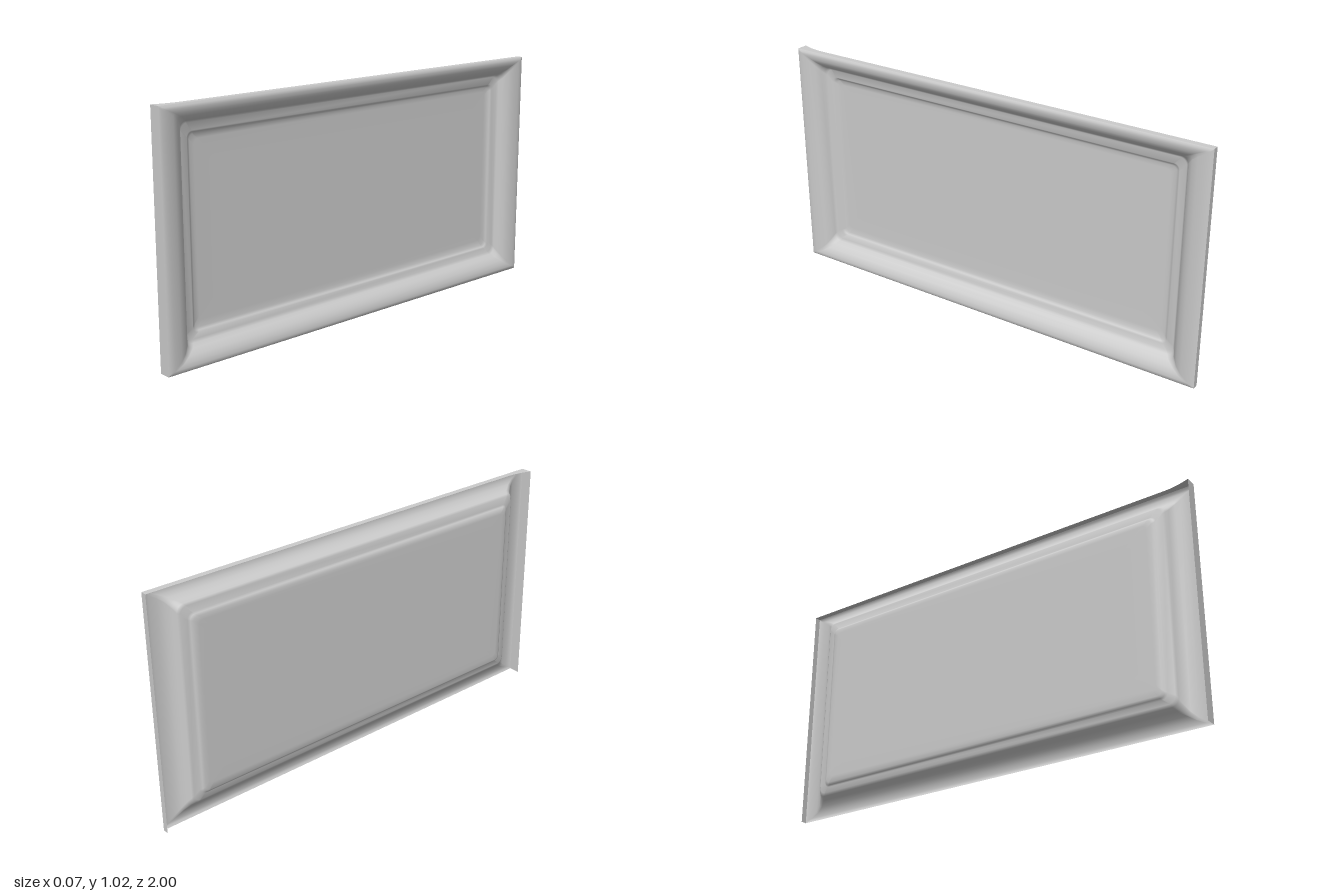
import * as THREE from 'three';

const material = new THREE.MeshStandardMaterial({ color: 0xcccccc, side: THREE.DoubleSide });
const HEIGHT = 1.02;
const lean = (y) => 0.005 * (y / HEIGHT - 0.5); // the sheet tilts very slightly

function makeMesh(name, positions, indices) {
  const geometry = new THREE.BufferGeometry();
  geometry.setAttribute('position', new THREE.Float32BufferAttribute(positions, 3));
  geometry.setIndex(indices);
  geometry.computeVertexNormals();
  const mesh = new THREE.Mesh(geometry, material);
  mesh.name = name;
  return mesh;
}

// Rounded rectangle in the sheet plane, counter-clockwise seen from +x
function roundedLoop(halfZ, y0, y1, radius, x, steps = 8) {
  const corners = [[halfZ, y1, 0], [-halfZ, y1, 1], [-halfZ, y0, 2], [halfZ, y0, 3]];
  const points = [];
  for (const [u, y, quarter] of corners) {
    const cu = u - Math.sign(u) * radius;
    const cy = y === y1 ? y - radius : y + radius;
    for (let i = 0; i <= steps; i++) {
      const a = (quarter + i / steps) * Math.PI / 2;
      const py = cy + radius * Math.sin(a);
      points.push([x + lean(py), py, -(cu + radius * Math.cos(a))]);
    }
  }
  return points;
}

// Lofts nested loops together and closes the middle
function loftLoops(name, loops) {
  const n = loops[0].length;
  const positions = loops.flat(2);
  const indices = [];
  for (let k = 0; k < loops.length - 1; k++) {
    for (let i = 0; i < n; i++) {
      const a = k * n + i, b = k * n + (i + 1) % n;
      indices.push(a, b, b + n, a, b + n, a + n);
    }
  }
  const last = (loops.length - 1) * n;
  const center = positions.length / 3;
  const [x, y] = loops[loops.length - 1][0];
  positions.push(x - lean(y) + lean(0.51), 0.51, 0);
  for (let i = 0; i < n; i++) indices.push(last + i, last + (i + 1) % n, center);
  return makeMesh(name, positions, indices);
}

// Thin strip between two edges given as matching point lists
function strip(name, edgeA, edgeB) {
  const n = edgeA.length;
  const indices = [];
  for (let i = 0; i < n - 1; i++) indices.push(i, i + 1, n + i + 1, i, n + i + 1, n + i);
  return makeMesh(name, [...edgeA, ...edgeB].flat(), indices);
}

export function createModel() {
  const group = new THREE.Group();
  group.name = 'pressedPanel';

  // Insets at the sides, top and bottom, corner radius and depth:
  // rounded rim, inner slope, ledge, second step, flat field
  const profile = [
    [0.000, 0.000, 0.000, 0.003, 0.026],
    [0.010, 0.008, 0.008, 0.004, 0.031],
    [0.030, 0.018, 0.018, 0.006, 0.032],
    [0.060, 0.034, 0.035, 0.010, 0.029],
    [0.085, 0.050, 0.055, 0.015, 0.020],
    [0.105, 0.066, 0.075, 0.025, 0.003],
    [0.113, 0.075, 0.088, 0.030, -0.013],
    [0.122, 0.084, 0.100, 0.030, -0.020],
    [0.150, 0.115, 0.122, 0.025, -0.022],
    [0.158, 0.122, 0.128, 0.022, -0.028],
    [0.168, 0.131, 0.138, 0.020, -0.034],
    [0.190, 0.150, 0.165, 0.020, -0.035],
    [0.260, 0.220, 0.235, 0.020, -0.035],
  ];
  group.add(loftLoops('pressedSheet', profile.map(([side, top, bottom, radius, x]) =>
    roundedLoop(1 - side, bottom, HEIGHT - top, radius, x))));

  // Return flanges along the two ends
  for (const [name, z, depth] of [['frontEndFlange', 1, -0.023], ['rearEndFlange', -1, 0.0]]) {
    const edge = (x) => [0, HEIGHT].map((y) => [x + lean(y), y, z]);
    group.add(strip(name, edge(0.026), edge(depth)));
  }

  // Return flange along the top, flaring out to meet the front end
  const outer = [], inner = [];
  for (const z of [-1, 0.88, 0.91, 0.94, 0.96, 0.98, 1]) {
    const flare = Math.max(0, (z - 0.88) / 0.12);
    outer.push([0.026 + lean(HEIGHT), HEIGHT, z]);
    inner.push([-0.023 * flare * flare + lean(HEIGHT), HEIGHT, z]);
  }
  group.add(strip('topFlange', outer, inner));

  return group;
}
